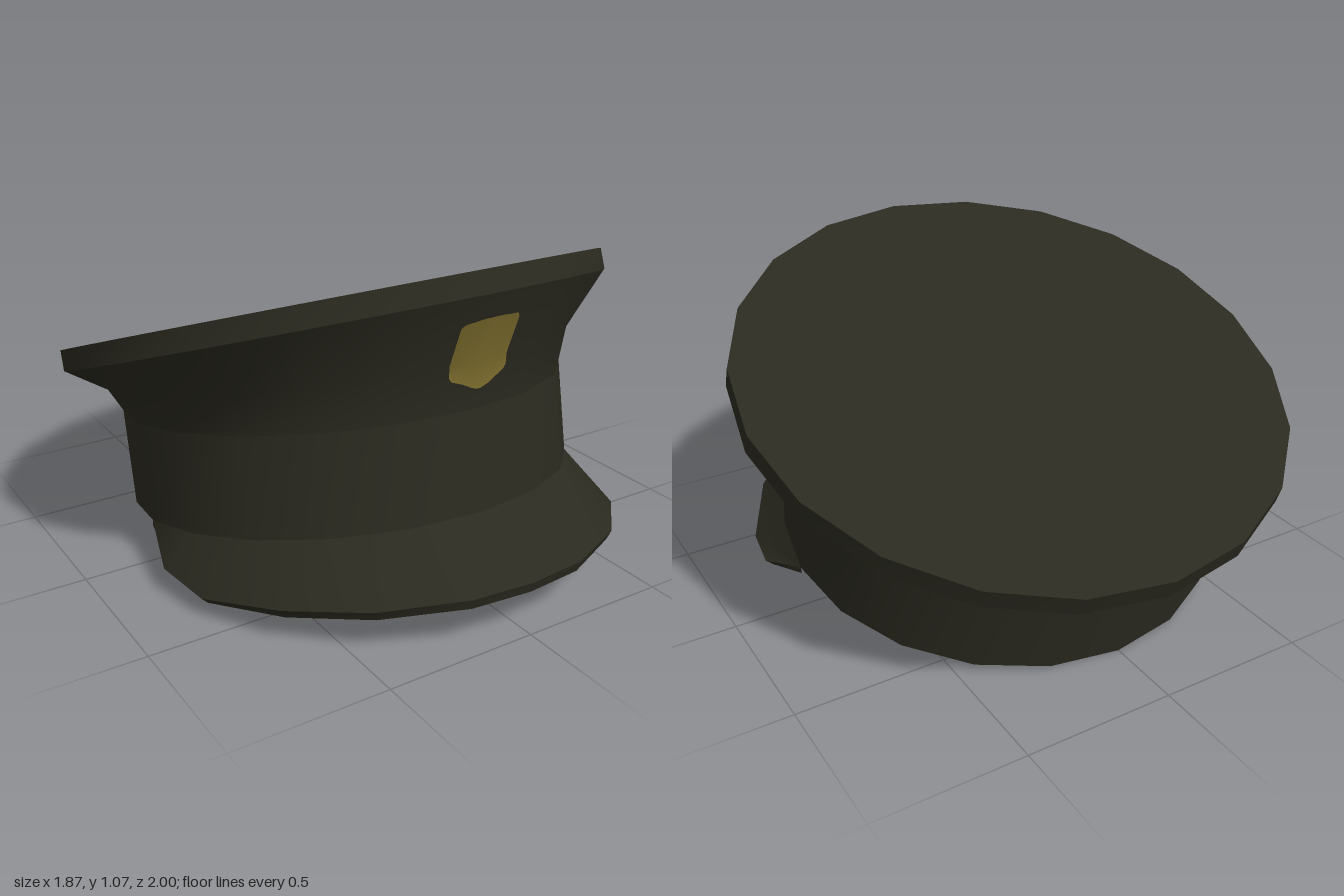
import * as THREE from 'three';
import { toCreasedNormals } from 'three/addons/utils/BufferGeometryUtils.js';

const SIDES = 20;

// Tilted elliptical rings: half width, then z and y at the front and at the back
const BAND_BOTTOM = { rx: 0.76, front: [0.745, 0.293], back: [-0.745, 0] };
const BAND_TOP = { rx: 0.76, front: [0.687, 0.61], back: [-0.81, 0.322] };
const CROWN_MID = { rx: 0.8, front: [0.695, 0.77], back: [-0.858, 0.348] };
const RIM_LOW = { rx: 0.937, front: [0.783, 1.0], back: [-0.975, 0.347] };
const RIM_HIGH = { rx: 0.935, front: [0.76, 1.068], back: [-1.0, 0.412] };

// Point i of a ring, counted from the front towards +x
function ringPoint(ring, i) {
  const a = (i / SIDES) * Math.PI * 2;
  const t = (1 + Math.cos(a)) / 2;
  return new THREE.Vector3(
    ring.rx * Math.sin(a),
    THREE.MathUtils.lerp(ring.back[1], ring.front[1], t),
    THREE.MathUtils.lerp(ring.back[0], ring.front[0], t)
  );
}

function ringRow(ring, from = 0, to = SIDES - 1) {
  const row = [];
  for (let i = from; i <= to; i++) row.push(ringPoint(ring, i));
  return row;
}

// Skin joining rows of points, lowest row first
function loft(rows, closed, capEnds = false) {
  const n = rows[0].length;
  const index = [];
  for (let r = 0; r < rows.length - 1; r++) {
    for (let i = 0; i < (closed ? n : n - 1); i++) {
      const a = r * n + i, b = r * n + ((i + 1) % n);
      index.push(a, b, b + n, a, b + n, a + n);
    }
  }
  if (capEnds) {
    for (let r = 1; r < rows.length - 2; r++) {
      index.push(0, r * n, (r + 1) * n);
      index.push(n - 1, (r + 2) * n - 1, (r + 1) * n - 1);
    }
  }
  const geometry = new THREE.BufferGeometry().setFromPoints(rows.flat());
  geometry.setIndex(index);
  geometry.computeVertexNormals();
  return geometry;
}

// Flat disc filling one ring, facing up or down
function disc(ring, up) {
  const geometry = new THREE.BufferGeometry().setFromPoints(ringRow(ring));
  const index = [];
  for (let i = 1; i < SIDES - 1; i++) index.push(0, up ? i : i + 1, up ? i + 1 : i);
  geometry.setIndex(index);
  geometry.computeVertexNormals();
  return geometry;
}

// Depth of the crown's front surface at x, y
function crownDepth(x, y) {
  const profile = [BAND_TOP, CROWN_MID, RIM_LOW].map((ring) => {
    const p = ringPoint(ring, 0), q = ringPoint(ring, 1);
    return p.lerp(q, Math.abs(x) / q.x);
  });
  const [a, b] = y < profile[1].y ? [profile[0], profile[1]] : [profile[1], profile[2]];
  return THREE.MathUtils.mapLinear(y, a.y, b.y, a.z, b.z);
}

// Shield-shaped badge that hugs the crown, bending where the crown bends
function badgeGeometry() {
  // x, bottom and top of each column
  const columns = [
    [-0.092, 0.725, 0.895], [-0.08, 0.712, 0.905], [-0.045, 0.7, 0.912], [-0.015, 0.685, 0.918],
    [0, 0.68, 0.918], [0.018, 0.677, 0.918], [0.05, 0.685, 0.916], [0.08, 0.7, 0.912],
    [0.112, 0.715, 0.91], [0.123, 0.728, 0.895],
  ];
  const point = (x, y) => new THREE.Vector3(x, y, crownDepth(x, y) + 0.006);
  return loft([
    columns.map(([x, low]) => point(x, low)),
    columns.map(([x]) => point(x, 0.767)),
    columns.map(([x, , high]) => point(x, high)),
  ], false);
}

// Visor: outer edge mirrored about x = 0, inner edge on the band's lower ring
function visorGeometry() {
  const upperEdge = [
    [0, 0.176, 1.0], [0.203, 0.172, 0.977], [0.452, 0.147, 0.852],
    [0.645, 0.112, 0.652], [0.778, 0.062, 0.395], [0.813, 0.08, 0.2],
  ];
  const lowerEdge = [
    [0, 0.141, 0.99], [0.198, 0.137, 0.967], [0.442, 0.115, 0.842],
    [0.63, 0.082, 0.645], [0.755, 0.038, 0.39], [0.787, 0.056, 0.2],
  ];
  const innerTop = ringRow(BAND_BOTTOM, -5, 5);
  const innerBottom = innerTop.map((p) => new THREE.Vector3(p.x, p.y - 0.02, p.z));
  const mirrored = (half) => innerTop.map((_, k) => {
    const [x, y, z] = half[Math.abs(k - 5)];
    return new THREE.Vector3(Math.sign(k - 5) * x, y, z);
  });
  const rows = [innerTop, innerBottom, mirrored(lowerEdge), mirrored(upperEdge), innerTop];
  return toCreasedNormals(loft(rows, false, true), 0.8);
}

export function createModel() {
  const cloth = new THREE.MeshStandardMaterial({ color: 0x2b2a20, side: THREE.DoubleSide });
  cloth.name = 'dark olive cloth';
  const gold = new THREE.MeshStandardMaterial({ color: 0x80702f, side: THREE.DoubleSide });
  gold.name = 'dull gold';

  const cap = new THREE.Group();
  cap.name = 'peakedCap';
  const add = (name, geometry, material) => {
    const mesh = new THREE.Mesh(geometry, material);
    mesh.name = name;
    cap.add(mesh);
  };

  add('headBand', loft([ringRow(BAND_BOTTOM), ringRow(BAND_TOP)], true), cloth);
  add('innerLining', disc(BAND_TOP, false), cloth);
  add('crownFlare', loft([BAND_TOP, CROWN_MID, RIM_LOW].map((r) => ringRow(r)), true), cloth);
  add('crownRim', loft([ringRow(RIM_LOW), ringRow(RIM_HIGH)], true), cloth);
  add('crownTop', disc(RIM_HIGH, true), cloth);
  add('visor', visorGeometry(), cloth);
  add('badge', badgeGeometry(), gold);
  return cap;
}
